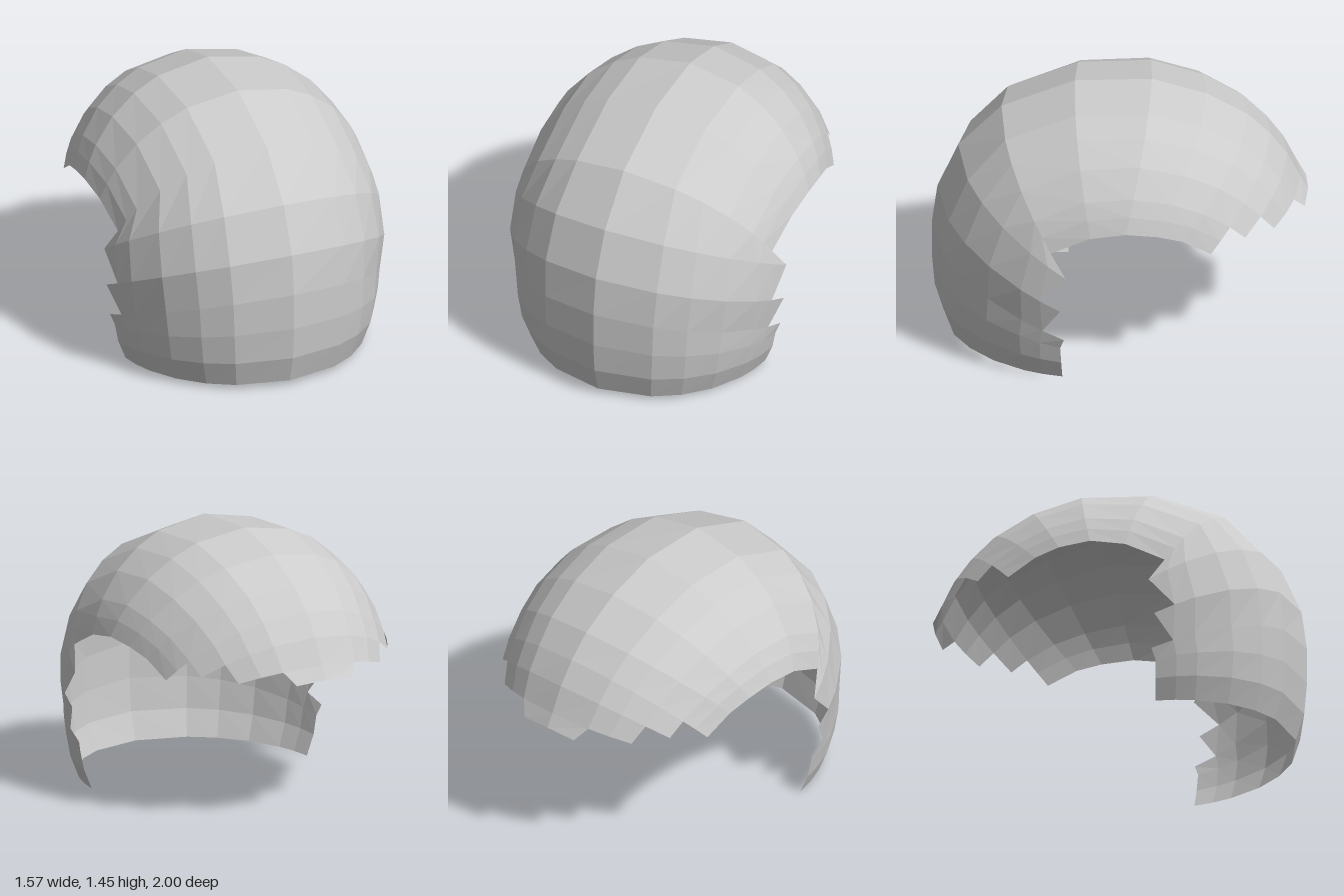
import * as THREE from 'three';

// Shared column spacing from the centre line (0) to the side edge (1)
const COLS = [0, 0.29, 0.45, 0.62, 0.8, 0.9, 1];

// Arched ribs from the front rim over the crown to the back rim:
// [centre z, centre y, edge x, edge y, edge z, arc degrees, columns, columns kept towards the next rib]
const RIBS = [
  [0.94, 0.03, 0.67, 0.0, 0.29, 85, 6, 6],
  [0.985, 0.18, 0.715, 0.11, 0.295, 86, 6, 6],
  [1.0, 0.36, 0.735, 0.21, 0.3, 87, 6, 6],
  [1.0, 0.56, 0.755, 0.27, 0.28, 86, 6, 5],
  [0.97, 0.78, 0.785, 0.46, 0.3, 85, 6, 5],
  [0.86, 1.03, 0.785, 0.66, 0.27, 82, 6, 6],
  [0.63, 1.27, 0.74, 0.79, 0.35, 78, 6, 6],
  [0.24, 1.43, 0.755, 0.89, 0.14, 75, 6, 6],
  [-0.17, 1.445, 0.76, 0.92, -0.05, 75, 6, 6],
  [-0.46, 1.36, 0.745, 0.9, -0.22, 74, 6, 6],
  [-0.68, 1.235, 0.72, 0.86, -0.35, 71, 6, 6],
  [-0.8, 1.12, 0.69, 0.77, -0.5, 68, 6, 4],
  [-0.89, 1.0, 0.58, 0.81, -0.68, 55, 4, 3],
  [-0.96, 0.86, 0.44, 0.79, -0.83, 45, 3, 1],
  [-1.0, 0.79, 0.17, 0.775, -0.985, 20, 1, 1],
];

// Point on a rib at signed column k (negative = mirrored side)
function ribPoint([cz, cy, ex, ey, ez, degrees, n], k) {
  const arc = THREE.MathUtils.degToRad(degrees);
  const t = arc * COLS[Math.abs(k)] / COLS[n];
  const d = (1 - Math.cos(t)) / (1 - Math.cos(arc));
  return [
    Math.sign(k) * ex * Math.sin(t) / Math.sin(arc),
    cy + (ey - cy) * d,
    cz + (ez - cz) * d,
  ];
}

function shellGeometry() {
  const positions = [];
  for (let i = 0; i < RIBS.length - 1; i++) {
    const a = RIBS[i], b = RIBS[i + 1];
    const na = a[7], nb = b[6], n = Math.max(na, nb);
    const clampTo = (k, limit) => Math.max(-limit, Math.min(limit, k));
    for (let k = -n; k < n; k++) {
      const a0 = clampTo(k, na), a1 = clampTo(k + 1, na);
      const b0 = clampTo(k, nb), b1 = clampTo(k + 1, nb);
      // Where one rib ends early, a single triangle forms the stepped edge
      if (a0 !== a1) positions.push(...ribPoint(a, a0), ...ribPoint(a, a1), ...ribPoint(b, b1));
      if (b0 !== b1) positions.push(...ribPoint(a, a0), ...ribPoint(b, b1), ...ribPoint(b, b0));
    }
  }
  const geometry = new THREE.BufferGeometry();
  geometry.setAttribute('position', new THREE.Float32BufferAttribute(positions, 3));
  geometry.computeVertexNormals();
  return geometry;
}

export function createModel() {
  const group = new THREE.Group();
  group.name = 'openShell';
  // Thin curved shell with open sides and a jagged rim
  const shell = new THREE.Mesh(
    shellGeometry(),
    new THREE.MeshStandardMaterial({ color: 0xcccccc, flatShading: true, side: THREE.DoubleSide })
  );
  shell.name = 'curvedShell';
  group.add(shell);
  return group;
}
